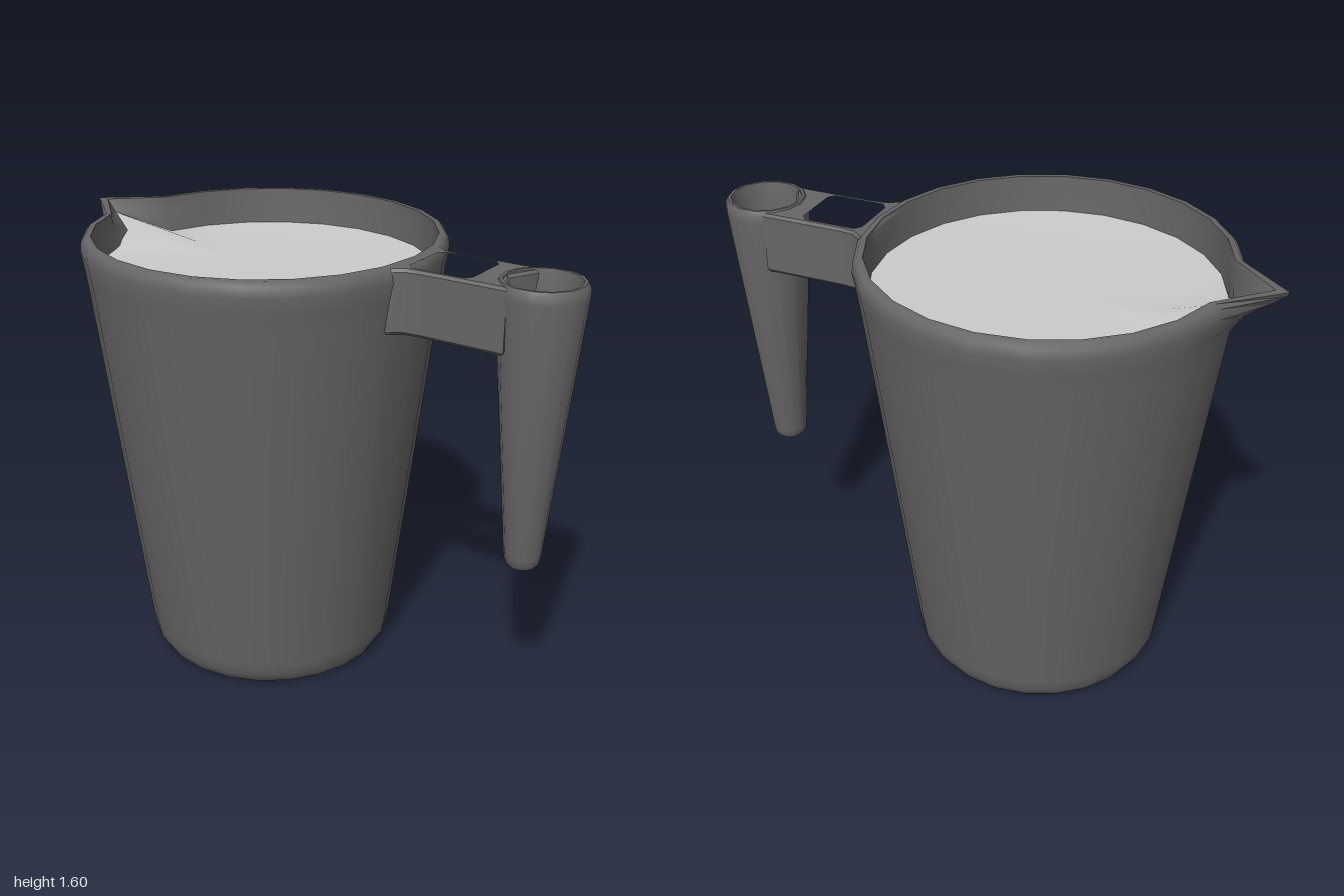
import * as THREE from 'three';
import { toCreasedNormals } from 'three/addons/utils/BufferGeometryUtils.js';

const SEGMENTS = 24;
const JUG_X = -0.21;

// Lathe from [radius, y, spoutReach, spoutLift] rows; the column facing -x is pulled out into a V
function turned(rows, segments = SEGMENTS, crease = 0.9) {
  const points = rows.map(([r, y]) => new THREE.Vector2(r, y));
  const geometry = new THREE.LatheGeometry(points, segments, Math.PI / 2);
  const pos = geometry.attributes.position;
  rows.forEach(([, , reach = 0, lift = 0], j) => {
    const i = (segments / 2) * rows.length + j;
    pos.setX(i, pos.getX(i) - reach);
    pos.setY(i, pos.getY(i) + lift);
  });
  return toCreasedNormals(geometry, crease);
}

// Frame outline: mirrored in z, given as the +z half from the jug end to the grip end
function mirroredPath(path, half) {
  const back = half.slice().reverse().map(([x, z]) => [x, -z]);
  [...half, ...back].forEach(([x, z], i) => (i ? path.lineTo(x, z) : path.moveTo(x, z)));
  path.closePath();
  return path;
}

export function createModel() {
  const group = new THREE.Group();
  const plastic = new THREE.MeshStandardMaterial({ color: 0x666666 });
  const pale = new THREE.MeshStandardMaterial({ color: 0xcccccc });

  const add = (name, geometry, material, x = 0, y = 0) => {
    const mesh = new THREE.Mesh(geometry, material);
    mesh.name = name;
    mesh.position.set(x, y, 0);
    group.add(mesh);
    return mesh;
  };

  // Tapered jug: outside wall, rim with pouring spout, then inside wall
  add('jug', turned([
    [0, 0], [0.41, 0], [0.435, 0.012], [0.457, 0.05], [0.465, 0.1],
    [0.622, 1.43], [0.63, 1.49, 0.03], [0.64, 1.55, 0.1],
    [0.635, 1.585, 0.148], [0.622, 1.6, 0.168],
    [0.602, 1.6, 0.145], [0.6, 1.56, 0.115], [0.594, 1.49, 0.03], [0.588, 1.42],
    [0.435, 0.08], [0.4, 0.04], [0, 0.04],
  ]), plastic, JUG_X);

  // Contents, running up into the spout
  add('liquid', turned([
    [0.593, 1.47, 0.115, 0.085], [0.42, 1.465], [0, 1.46],
  ]), pale, JUG_X);

  // Hollow tapered grip, open at the top
  add('grip', turned([
    [0, 0.61], [0.05, 0.61], [0.06, 0.622], [0.064, 0.65],
    [0.147, 1.56], [0.145, 1.585], [0.135, 1.603], [0.125, 1.603],
    [0.118, 1.56], [0.045, 0.68], [0, 0.67],
  ], 14), plastic, 0.85);

  // Bridge: two side bars around an open slot, flaring into the jug
  const outline = mirroredPath(new THREE.Shape(), [
    [0.39, 0], [0.378, 0.16], [0.405, 0.15], [0.435, 0.128], [0.49, 0.121],
    [0.7, 0.121], [0.785, 0.122], [0.78, 0.1], [0.728, 0],
  ]);
  outline.holes.push(mirroredPath(new THREE.Path(), [
    [0.425, 0.085], [0.445, 0.11], [0.635, 0.11], [0.655, 0.085],
  ]));
  const bridge = new THREE.ExtrudeGeometry(outline, {
    depth: 0.2, bevelEnabled: true, bevelThickness: 0.01, bevelSize: 0.008,
    bevelOffset: -0.002, bevelSegments: 1,
  });
  bridge.rotateX(Math.PI / 2);
  add('handleBridge', toCreasedNormals(bridge, 0.6), plastic, 0, 1.587);

  return group;
}
